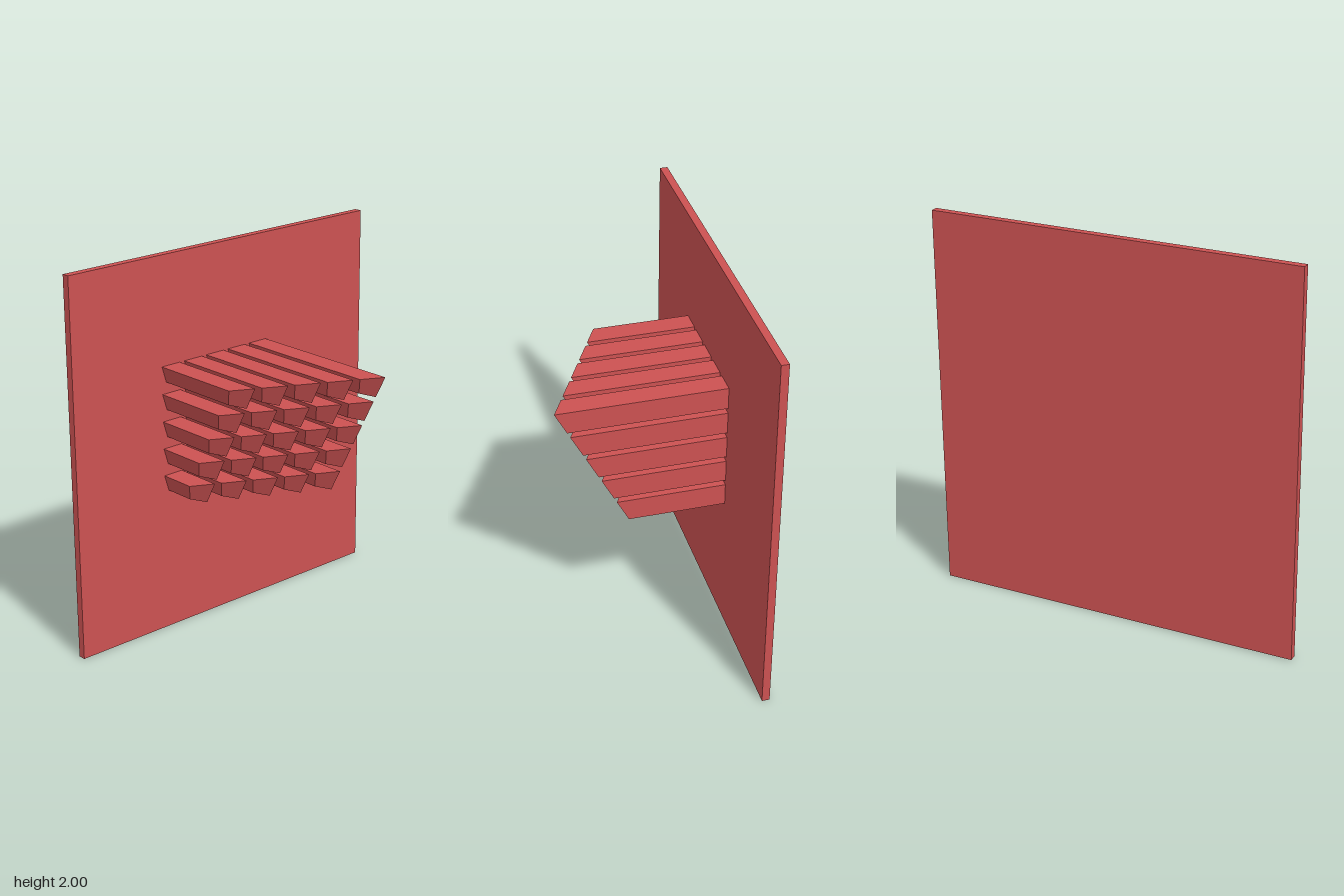
import * as THREE from 'three';

const PLATE_FRONT = -0.415;
const PITCH = 0.1455;

// Slanted plane that cuts off the free ends of all bars
const cutZ = (x, y) => 0.455 + 0.525 * (x - 0.28) + 0.525 * (y - 1.43);

// Bar with a four-cornered section; (x, y) is its top left corner
function barGeometry(x, y) {
  const section = new THREE.Shape([
    new THREE.Vector2(x, y),
    new THREE.Vector2(x + 0.026, y - 0.086),
    new THREE.Vector2(x + 0.115, y - 0.118),
    new THREE.Vector2(x + 0.115, y),
  ]);
  const geometry = new THREE.ExtrudeGeometry(section, { depth: 1, bevelEnabled: false });
  const p = geometry.attributes.position;
  for (let i = 0; i < p.count; i++) {
    p.setZ(i, p.getZ(i) > 0.5 ? cutZ(p.getX(i), p.getY(i)) : PLATE_FRONT);
  }
  geometry.computeVertexNormals();
  return geometry;
}

export function createModel() {
  const model = new THREE.Group();
  model.name = 'plateWithBars';
  const red = new THREE.MeshStandardMaterial({ color: 0xcc5252, flatShading: true });

  // Upright back plate
  const plate = new THREE.Mesh(new THREE.BoxGeometry(1.94, 2, 0.04), red);
  plate.name = 'backPlate';
  plate.position.set(0, 1, PLATE_FRONT - 0.02);
  model.add(plate);

  // Five by five grid of projecting bars
  const bars = new THREE.Group();
  bars.name = 'barGrid';
  for (let row = 0; row < 5; row++) {
    for (let col = 0; col < 5; col++) {
      const bar = new THREE.Mesh(barGeometry(-0.42 + col * PITCH, 1.43 - row * PITCH), red);
      bar.name = `bar_${row + 1}_${col + 1}`;
      bars.add(bar);
    }
  }
  model.add(bars);
  return model;
}
